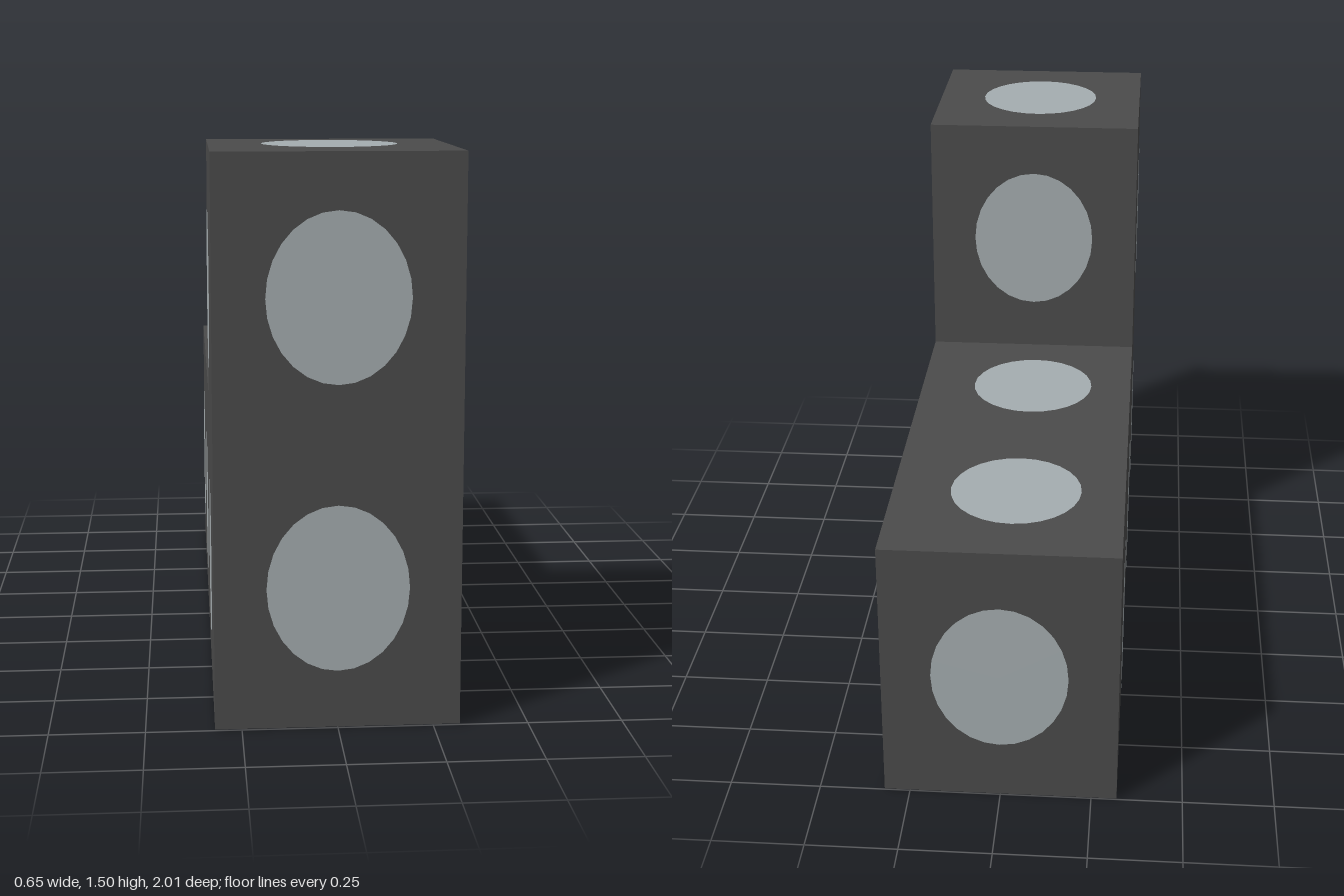
import * as THREE from 'three';

export function createModel() {
  const model = new THREE.Group();
  const charcoal = new THREE.MeshStandardMaterial({ color: 0x4b4b4b });
  charcoal.name = 'charcoal';
  const paleGrey = new THREE.MeshStandardMaterial({ color: 0xa5adb0 });
  paleGrey.name = 'paleGrey';

  const halfWidth = 0.32, top = 1.49, step = 0.76, stepZ = 0.35;

  // L-shaped body: profile drawn in (z, y), extruded across x
  const profile = new THREE.Shape([
    [-1, 0], [1, 0], [1, top], [stepZ, top], [stepZ, step], [-1, step],
  ].map(([z, y]) => new THREE.Vector2(-z, y)));
  const bodyGeometry = new THREE.ExtrudeGeometry(profile, { depth: 2 * halfWidth, bevelEnabled: false });
  bodyGeometry.translate(0, 0, -halfWidth).rotateY(Math.PI / 2);
  const body = new THREE.Mesh(bodyGeometry, charcoal);
  body.name = 'body';
  model.add(body);

  // Thin oval spots, turned to face outward from each side
  const disc = new THREE.CircleGeometry(1, 28);
  const lift = 0.003;
  function addSpots(name, normal, radiusX, radiusY, centres) {
    const group = new THREE.Group();
    group.name = name;
    const direction = new THREE.Vector3(...normal);
    for (const centre of centres) {
      const spot = new THREE.Mesh(disc, paleGrey);
      spot.name = 'spot';
      spot.scale.set(radiusX, radiusY, 1);
      if (normal[1]) spot.rotation.x = -normal[1] * Math.PI / 2;
      else spot.rotation.y = Math.atan2(normal[0], normal[2]);
      spot.position.set(...centre).addScaledVector(direction, lift);
      group.add(spot);
    }
    model.add(group);
  }

  addSpots('frontSpots', [0, 0, 1], 0.185, 0.22, [[0, 1.125, 1], [0, 0.373, 1]]);
  addSpots('backSpots', [0, 0, -1], 0.185, 0.215, [[0, 1.125, stepZ], [0, 0.38, -1]]);
  addSpots('leftSpots', [1, 0, 0], 0.19, 0.215, [
    [halfWidth, 1.12, 0.675], [halfWidth, 0.37, 0.675],
    [halfWidth, 0.37, 0.03], [halfWidth, 0.37, -0.645],
  ]);
  addSpots('rightSpots', [-1, 0, 0], 0.19, 0.215, [
    [-halfWidth, 1.11, 0.655], [-halfWidth, 0.37, 0.655],
    [-halfWidth, 0.37, 0.025], [-halfWidth, 0.37, -0.645],
  ]);
  addSpots('topSpots', [0, 1, 0], 0.18, 0.19, [
    [0, top, 0.67], [-0.02, step, 0.03], [-0.02, step, -0.655],
  ]);
  addSpots('bottomSpots', [0, -1, 0], 0.18, 0.19, [
    [0.01, 0, 0.68], [0.01, 0, 0.035], [0, 0, -0.64],
  ]);

  return model;
}
